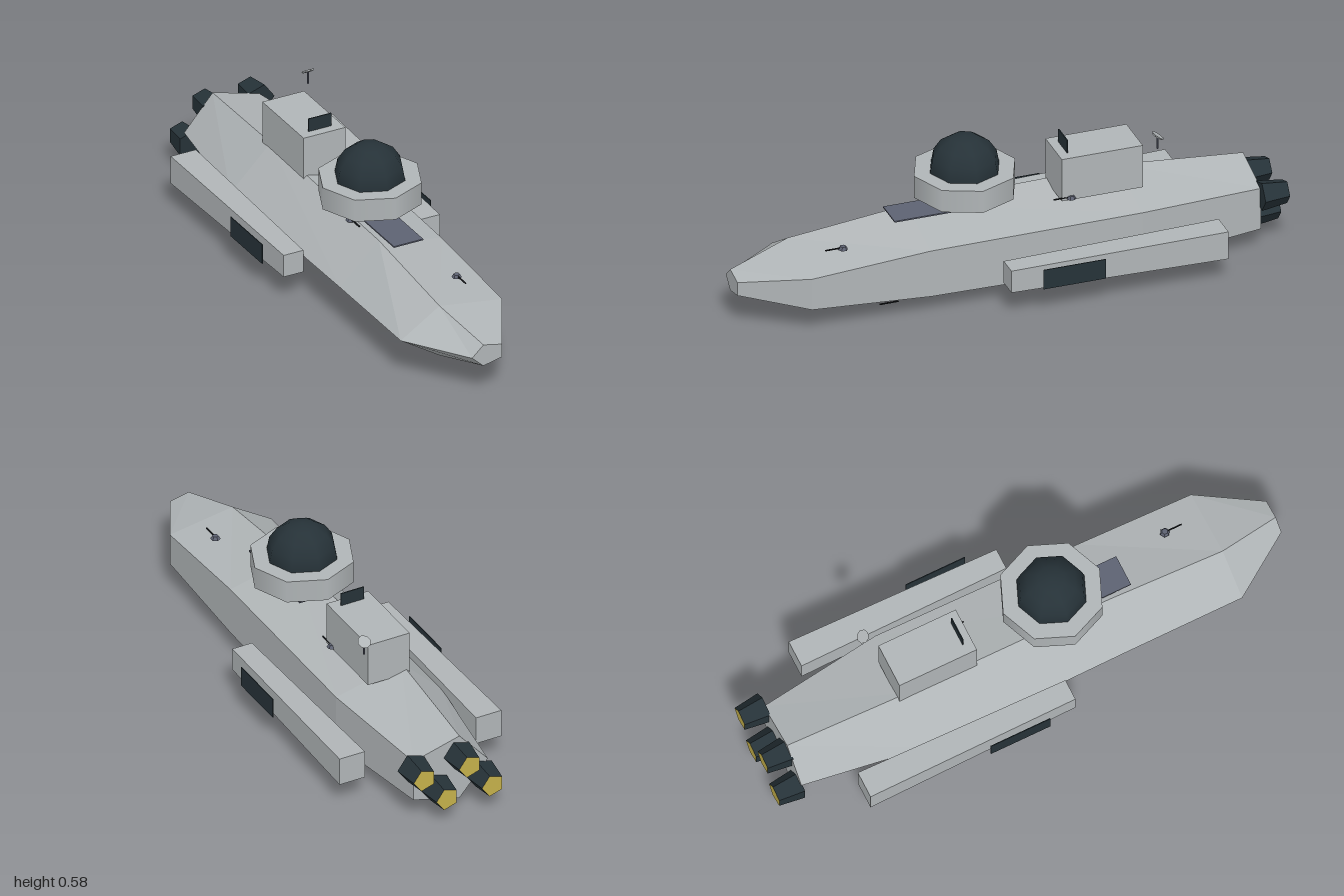
import * as THREE from 'three';

const mat = (name, color, flatShading = false, side = THREE.FrontSide) => {
  const m = new THREE.MeshStandardMaterial({ color, flatShading, side });
  m.name = name;
  return m;
};

// Five-sided hull: loops of points joined along z, closed at both ends
function hullGeometry(sections, cy) {
  const pos = [], idx = [], n = 5;
  for (const [z, rx, ry] of sections) {
    for (let j = 0; j < n; j++) {
      const a = Math.PI + (j * 2 * Math.PI) / n;
      pos.push(rx * Math.cos(a), cy + ry * Math.sin(a), z);
    }
  }
  const last = (sections.length - 1) * n;
  for (let k = 0; k < last; k += n) {
    for (let j = 0; j < n; j++) {
      const i = (j + 1) % n;
      idx.push(k + j, k + i, k + n + i, k + j, k + n + i, k + n + j);
    }
  }
  for (let j = 1; j < n - 1; j++) {
    idx.push(last, last + j, last + j + 1);
    idx.push(0, j + 1, j);
  }
  const g = new THREE.BufferGeometry();
  g.setAttribute('position', new THREE.Float32BufferAttribute(pos, 3));
  g.setIndex(idx);
  const flat = g.toNonIndexed();
  flat.computeVertexNormals();
  return flat;
}

export function createModel() {
  const model = new THREE.Group();
  model.name = 'spaceship';
  const hullGrey = mat('hullGrey', 0xb0b5b7, true);
  const ringGrey = hullGrey.clone();
  ringGrey.flatShading = false;
  const dark = mat('darkGlass', 0x263238);
  const slate = mat('slate', 0x5d6272, true);
  const black = mat('black', 0x16191c);
  const yellow = mat('engineGlow', 0xc4b04a);

  const add = (name, geo, material, x = 0, y = 0, z = 0, parent = model) => {
    const mesh = new THREE.Mesh(geo, material);
    mesh.name = name;
    mesh.position.set(x, y, z);
    parent.add(mesh);
    return mesh;
  };
  const box = (w, h, d) => new THREE.BoxGeometry(w, h, d);

  // Hull: z, half width, half height of each section
  add('hull', hullGeometry([
    [-0.91, 0.163, 0.136],
    [-0.45, 0.231, 0.166],
    [0.33, 0.223, 0.153],
    [0.77, 0.222, 0.103],
    [1.0, 0.065, 0.0435],
  ], 0.161), hullGrey);

  // Bridge block with an upright sensor plate
  add('bridge', box(0.165, 0.165, 0.3), hullGrey, 0, 0.382, -0.34);
  add('sensorPlate', box(0.09, 0.05, 0.004), dark, 0, 0.49, -0.225);

  // Observation ring and dome
  add('domeRing', new THREE.CylinderGeometry(0.187, 0.187, 0.085, 8), ringGrey, 0, 0.412, 0.14);
  add('dome', new THREE.SphereGeometry(0.128, 8, 4, 0, Math.PI * 2, 0, Math.PI / 2), dark, 0, 0.454, 0.14);

  // Deck hatch
  add('deckHatch', box(0.116, 0.005, 0.37), slate, 0, 0.32, 0.235);

  // Side pods, narrower toward the front, each with an outer window
  for (const s of [-1, 1]) {
    const pod = box(0.1, 0.107, 0.8);
    const p = pod.attributes.position;
    for (let i = 0; i < p.count; i++) {
      if (p.getZ(i) > 0) p.setXY(i, p.getX(i) * 0.78, p.getY(i) * 0.8);
    }
    pod.computeVertexNormals();
    const side = s > 0 ? 'left' : 'right';
    add(side + 'Pod', pod, hullGrey, s * 0.27, 0.147, -0.32);
    add(side + 'PodWindow', box(0.003, 0.076, 0.23), dark, s * 0.333, 0.148, -0.145);
  }

  // Engines: five-sided nozzles with glowing ends
  const nozzle = new THREE.CylinderGeometry(0.044, 0.057, 0.095, 5)
    .rotateX(-Math.PI / 2).rotateZ(-Math.PI / 2);
  const darkFlat = dark.clone();
  darkFlat.flatShading = true;
  for (const [x, y] of [[0.135, 0.217], [-0.045, 0.217], [0.045, 0.11], [-0.135, 0.11]]) {
    // Geometry groups: 0 = sides, 1 = rear cap, 2 = front cap
    add('engine', nozzle, [darkFlat, yellow, darkFlat], x, y, -0.9525);
  }

  // Small turrets on the upper deck
  const base = new THREE.CylinderGeometry(0.011, 0.018, 0.012, 6);
  const barrel = new THREE.CylinderGeometry(0.003, 0.003, 0.07, 5).rotateX(Math.PI / 2);
  for (const [x, y, z] of [[0.081, 0.268, 0.62], [0.081, 0.31, -0.225], [-0.083, 0.31, 0.15]]) {
    const turret = new THREE.Group();
    turret.name = 'turret';
    turret.position.set(x, y, z);
    model.add(turret);
    add('turretBase', base, slate, 0, 0, 0, turret);
    add('turretBarrel', barrel, black, 0, 0, 0.03, turret);
  }

  // Guns beneath the hull
  for (const [x, z] of [[0.083, 0.45], [0.083, -0.4], [-0.083, 0.1]]) {
    add('bellyGun', barrel, black, x, 0.019, z);
  }

  // Dish antenna
  add('dishMast', new THREE.CylinderGeometry(0.003, 0.003, 0.048, 5), slate, 0.12, 0.488, -0.53);
  add('dish', new THREE.CylinderGeometry(0.025, 0.02, 0.006, 8), hullGrey, 0.12, 0.514, -0.53)
    .rotation.x = -0.62;

  return model;
}
